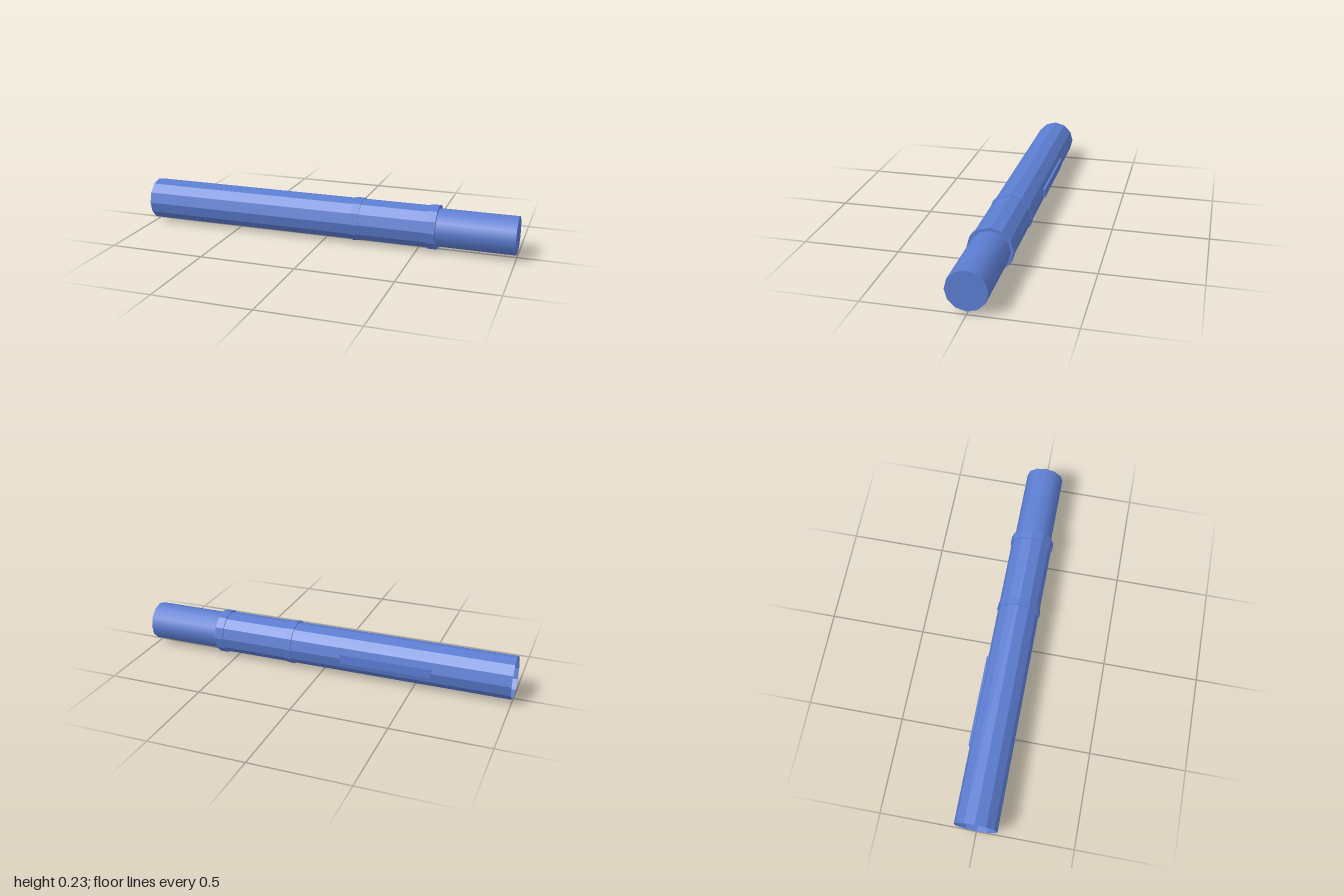
import * as THREE from 'three';

const SIDES = 12, AXIS_Y = 0.116;

export function createModel() {
  const group = new THREE.Group();
  const blue = new THREE.MeshStandardMaterial({ color: 0x5b7cd0, side: THREE.DoubleSide });
  blue.name = 'blue';

  const add = (name, geometry) => {
    const mesh = new THREE.Mesh(geometry, blue);
    mesh.name = name;
    group.add(mesh);
    return mesh;
  };

  // Twelve-sided section lying along x, from x0 (radius r0) to x1 (radius r1)
  const section = (name, x0, x1, r0, r1, { open = false, faceted = true } = {}) => {
    let g = new THREE.CylinderGeometry(r1, r0, x1 - x0, SIDES, 1, open);
    g.rotateZ(-Math.PI / 2);
    g.translate((x0 + x1) / 2, AXIS_Y, 0);
    if (faceted) {
      g = g.toNonIndexed();
      g.computeVertexNormals();
    }
    return add(name, g);
  };

  // Hollow barrel, open at its far end
  section('barrel', -1, 0.6, 0.11, 0.11, { open: true });

  // Raised bands
  section('middleBand', 0.16, 0.2, 0.116, 0.113, { open: true });
  // Annular rims closing each band against the barrel
  const rim = (name, x, inner, outer, facing) => {
    const g = new THREE.RingGeometry(inner, outer, SIDES, 1);
    g.rotateY(facing * Math.PI / 2);
    g.translate(x, AXIS_Y, 0);
    add(name, g);
  };
  rim('middleBandRim', 0.16, 0.11, 0.116, -1);
  rim('middleBandRim', 0.2, 0.11, 0.113, 1);
  section('endBand', 0.555, 0.6, 0.116, 0.116, { open: true });
  rim('endBandRim', 0.555, 0.11, 0.116, -1);
  rim('endBandRim', 0.6, 0.1, 0.116, 1);

  // Narrow closed tip
  section('tip', 0.58, 1, 0.1, 0.1, { faceted: false });

  // Shallow clip bar along the back
  const clip = add('clip', new THREE.BoxGeometry(0.48, 0.047, 0.016));
  clip.position.set(-0.36, 0.117, -0.1075);

  return group;
}
